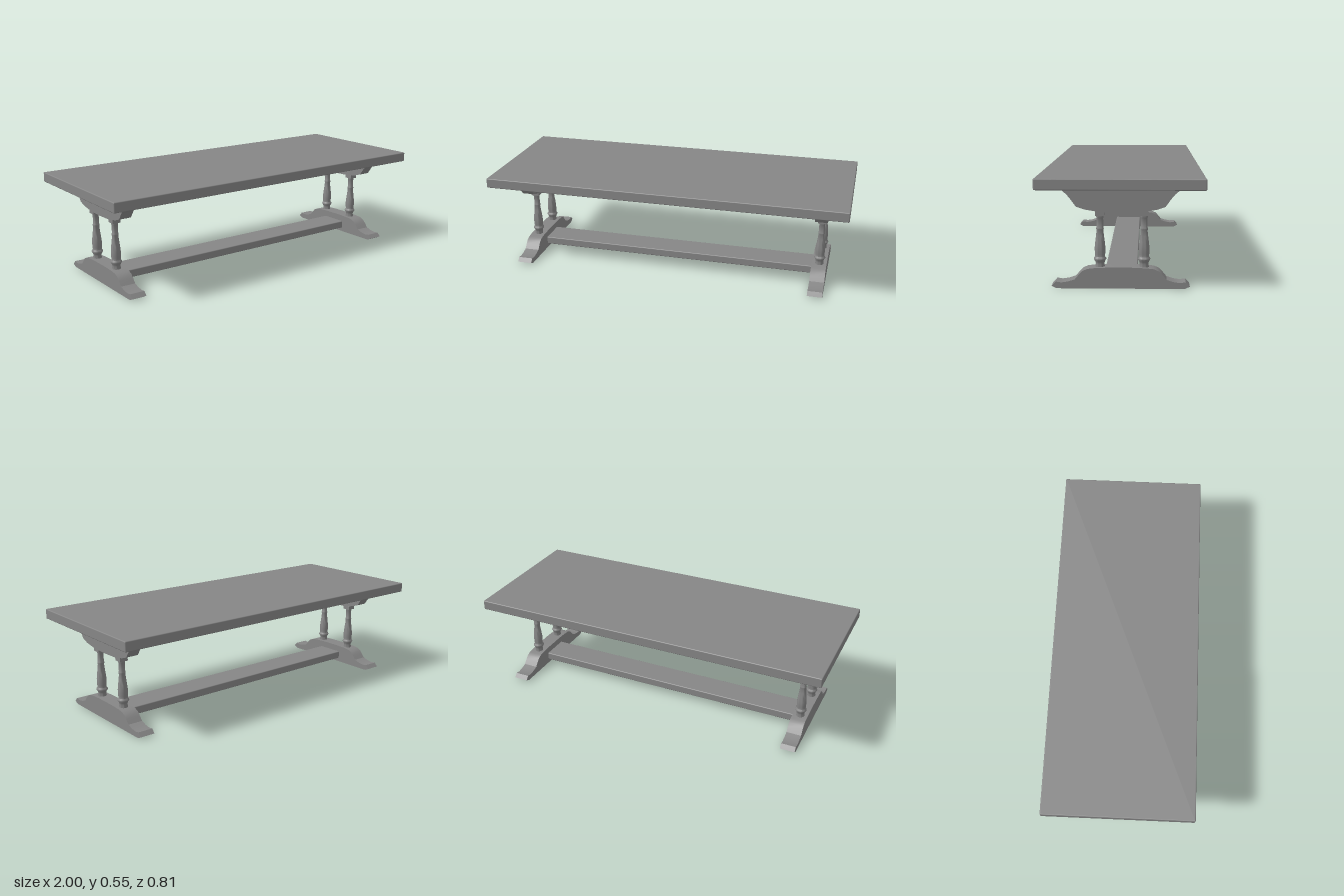
import * as THREE from 'three';
import { toCreasedNormals } from 'three/addons/utils/BufferGeometryUtils.js';
import { RoundedBoxGeometry } from 'three/addons/geometries/RoundedBoxGeometry.js';

const wood = new THREE.MeshStandardMaterial({ color: 0x868686, side: THREE.DoubleSide });

function part(name, geometry, x = 0, y = 0, z = 0) {
  const mesh = new THREE.Mesh(geometry, wood);
  mesh.name = name;
  mesh.position.set(x, y, z);
  return mesh;
}

// Extrudes a half profile of [z, y] points, mirrored over z = 0, along x.
// Faces lying flat at openY are left out, so the part is hollow on that side.
function trestleBoard(half, halfWidth, openY) {
  const mirrored = half.filter(p => p[0] > 0).reverse().map(([z, y]) => [-z, y]);
  const shape = new THREE.Shape([...half, ...mirrored].map(p => new THREE.Vector2(...p)));
  const solid = new THREE.ExtrudeGeometry(shape, { depth: 2 * halfWidth, bevelEnabled: false });
  solid.translate(0, 0, -halfWidth).rotateY(-Math.PI / 2);
  const pos = solid.getAttribute('position');
  const kept = [];
  for (let i = 0; i < pos.count; i += 3) {
    const corners = [i, i + 1, i + 2];
    if (corners.every(k => Math.abs(pos.getY(k) - openY) < 1e-5)) continue;
    for (const k of corners) kept.push(pos.getX(k), pos.getY(k), pos.getZ(k));
  }
  const board = new THREE.BufferGeometry();
  board.setAttribute('position', new THREE.Float32BufferAttribute(kept, 3));
  return toCreasedNormals(board, 0.5);
}

// Turned baluster profile as [radius, y]
const turning = [
  [0.023, 0.095], [0.023, 0.105], [0.021, 0.117], [0.024, 0.128], [0.031, 0.139],
  [0.03, 0.144], [0.024, 0.151], [0.025, 0.163], [0.026, 0.18], [0.026, 0.197],
  [0.023, 0.225], [0.0195, 0.252], [0.0165, 0.28], [0.018, 0.284], [0.0185, 0.288],
  [0.018, 0.292], [0.0165, 0.296], [0.016, 0.34], [0.018, 0.344], [0.018, 0.354],
];

// Scrolled sled foot and curved top bracket, as [z, y]
const footProfile = [
  [0.31, 0], [0.335, 0.012], [0.315, 0.033], [0.306, 0.032], [0.288, 0.029],
  [0.255, 0.034], [0.222, 0.045], [0.203, 0.068], [0.186, 0.086], [0.16, 0.097],
  [0.125, 0.101], [0.056, 0.104], [0, 0.104],
];
const bracketProfile = [
  [0.307, 0.495], [0.282, 0.478], [0.26, 0.459], [0.24, 0.435], [0.215, 0.4],
  [0.174, 0.386], [0.1, 0.374], [0, 0.371],
];

export function createModel() {
  const table = new THREE.Group();
  table.name = 'trestleTable';

  table.add(part('tableTop', new RoundedBoxGeometry(2, 0.054, 0.806, 4, 0.005), 0, 0.5205, 0));
  // The stretcher passes just through the inner wall of each hollow foot
  table.add(part('stretcher', new RoundedBoxGeometry(1.63, 0.044, 0.16, 4, 0.005), 0.004, 0.0445, 0));

  const foot = trestleBoard(footProfile, 0.041, 0);
  const bracket = trestleBoard(bracketProfile, 0.034, 0.495);
  const column = toCreasedNormals(
    new THREE.LatheGeometry(turning.map(p => new THREE.Vector2(...p)), 24), 0.8);
  const cap = new THREE.BoxGeometry(0.046, 0.022, 0.046);

  for (const [name, x] of [['leftTrestle', 0.849], ['rightTrestle', -0.841]]) {
    const trestle = new THREE.Group();
    trestle.name = name;
    trestle.position.x = x;
    trestle.add(part('foot', foot), part('bracket', bracket));
    for (const z of [0.101, -0.113]) {
      trestle.add(part('column', column, 0, 0, z));
      trestle.add(part('columnCap', cap, 0, 0.364, z));
    }
    table.add(trestle);
  }
  return table;
}
